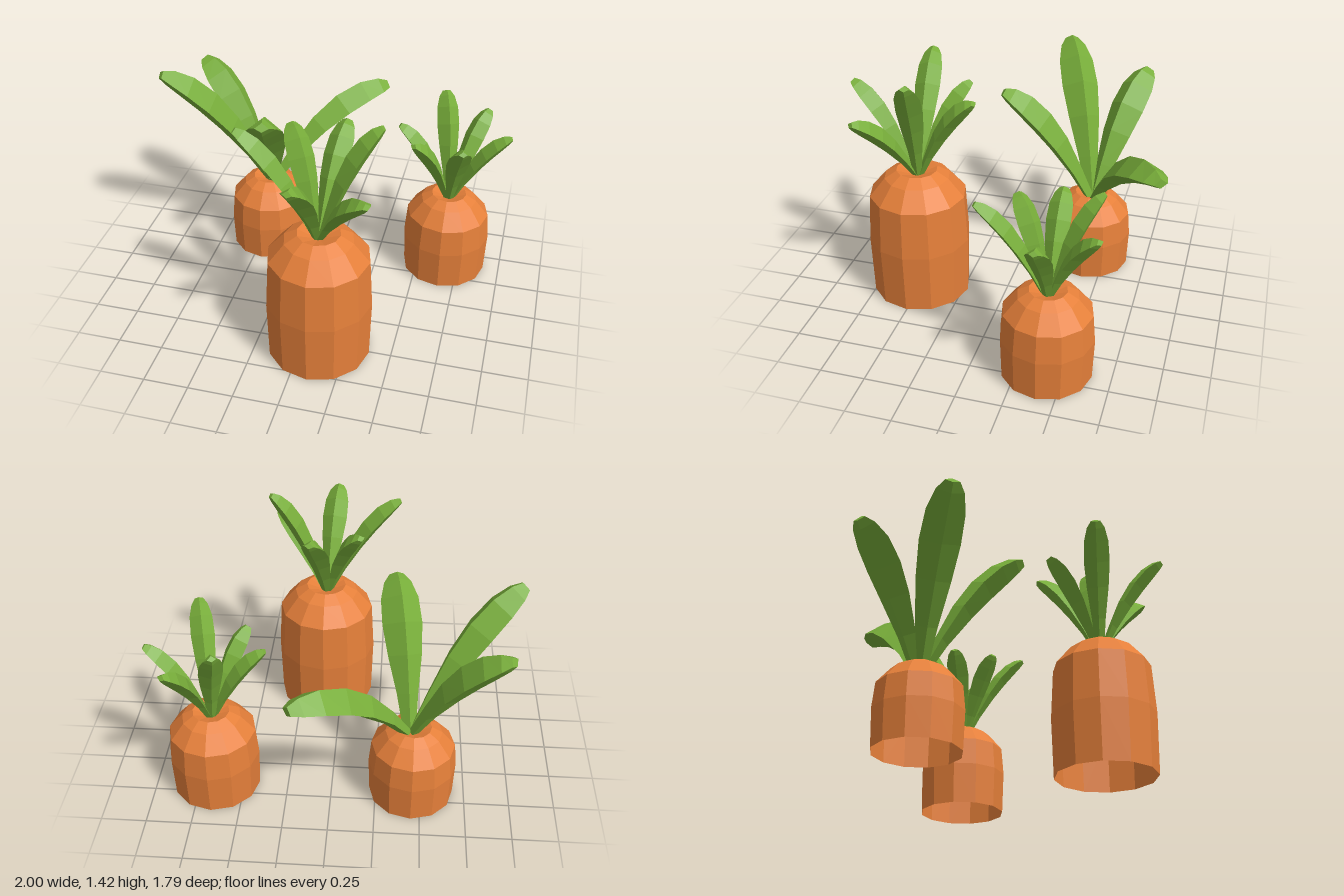
import * as THREE from 'three';

const orange = new THREE.MeshStandardMaterial({ color: 0xe6803a, flatShading: true, side: THREE.DoubleSide });
orange.name = 'carrotOrange';
const green = new THREE.MeshStandardMaterial({ color: 0x78ae3a, flatShading: true, side: THREE.DoubleSide });
green.name = 'leafGreen';

// Faceted root, open underneath, with a small dimple where the leaves grow
function makeRoot(radius, height) {
  const profile = [
    [0.97, 0], [1, height * 0.45], [0.945, height - 0.5 * radius],
    [0.64, height - 0.14 * radius], [0.4, height], [0.26, height - 0.05 * radius], [0, height - 0.14 * radius],
  ].map(([r, y]) => new THREE.Vector2(r * radius, y));
  const mesh = new THREE.Mesh(new THREE.LatheGeometry(profile, 12), orange);
  mesh.name = 'root';
  return mesh;
}

// Fleshy leaf: sections with a tall top ridge and a low keel, swept along a curve that bends outward
const stations = [[0, 0.32], [0.2, 0.54], [0.42, 0.85], [0.62, 1], [0.8, 0.94], [0.93, 0.68], [1, 0.36]];
function makeLeaf(base, tip, width, bend) {
  const out = new THREE.Vector3(tip.x - base.x, 0, tip.z - base.z).normalize();
  const side = new THREE.Vector3(out.z, 0, -out.x);
  const start = base.clone().addScaledVector(out, 0.02);
  const arch = bend * start.distanceTo(tip);
  const mid = start.clone().lerp(tip, 0.56);
  mid.y += arch;
  mid.addScaledVector(out, -arch * 0.4);
  const curve = new THREE.QuadraticBezierCurve3(start, mid, tip);
  const pos = [], index = [];
  stations.forEach(([t, w], i) => {
    const p = curve.getPoint(t);
    const up = curve.getTangent(t).cross(side).normalize();
    const half = w * width / 2;
    // right edge, top ridge, left edge, underside keel
    for (const [s, u] of [[1, 0.1], [0, 0.9], [-1, 0.1], [0, -0.45]]) {
      const v = p.clone().addScaledVector(side, s * half).addScaledVector(up, u * half);
      pos.push(v.x, v.y, v.z);
    }
    if (i === 0) return;
    for (let k = 0; k < 4; k++) {
      const a = (i - 1) * 4 + k, b = (i - 1) * 4 + (k + 1) % 4;
      index.push(a, b, b + 4, a, b + 4, a + 4);
    }
  });
  const e = (stations.length - 1) * 4;
  index.push(e, e + 1, e + 3, e + 1, e + 2, e + 3);
  const geo = new THREE.BufferGeometry();
  geo.setAttribute('position', new THREE.Float32BufferAttribute(pos, 3));
  geo.setIndex(index);
  geo.computeVertexNormals();
  const mesh = new THREE.Mesh(geo, green);
  mesh.name = 'leaf';
  return mesh;
}

// Leaf entries: tip x, y, z and an optional bend
const carrots = [
  {
    name: 'leftBackCarrot', x: -0.45, z: -0.4, radius: 0.243, height: 0.47, leafWidth: 0.22, base: [-0.43, -0.41],
    leaves: [[0.18, 0.93, -0.87, 0.21], [-0.91, 1.1, -0.63], [-0.99, 1.22, -0.13], [-0.32, 1.11, 0.12]],
  },
  {
    name: 'tallFrontCarrot', x: 0.095, z: 0.505, radius: 0.292, height: 0.78, leafWidth: 0.145, base: [0.09, 0.5],
    leaves: [[-0.33, 1.34, 0.53], [-0.12, 1.25, 0.24], [0.16, 1.25, 0.14],
      [0.4, 1.4, 0.43], [0.39, 1.15, 0.75], [0.04, 1.25, 0.88]],
  },
  {
    name: 'rightBackCarrot', x: 0.66, z: -0.4, radius: 0.253, height: 0.52, leafWidth: 0.13, base: [0.66, -0.4],
    leaves: [[0.345, 0.935, -0.4], [0.57, 1.06, -0.65], [0.83, 0.95, -0.68],
      [0.985, 0.935, -0.4], [0.75, 1.01, -0.04], [0.46, 0.935, -0.18]],
  },
];

export function createModel() {
  const model = new THREE.Group();
  model.name = 'carrotPatch';
  for (const c of carrots) {
    const carrot = new THREE.Group();
    carrot.name = c.name;
    const root = makeRoot(c.radius, c.height);
    root.position.set(c.x, 0, c.z);
    carrot.add(root);
    const base = new THREE.Vector3(c.base[0], c.height - 0.04, c.base[1]);
    for (const [x, y, z, bend = 0.13] of c.leaves) {
      carrot.add(makeLeaf(base, new THREE.Vector3(x, y, z), c.leafWidth, bend));
    }
    model.add(carrot);
  }
  return model;
}
